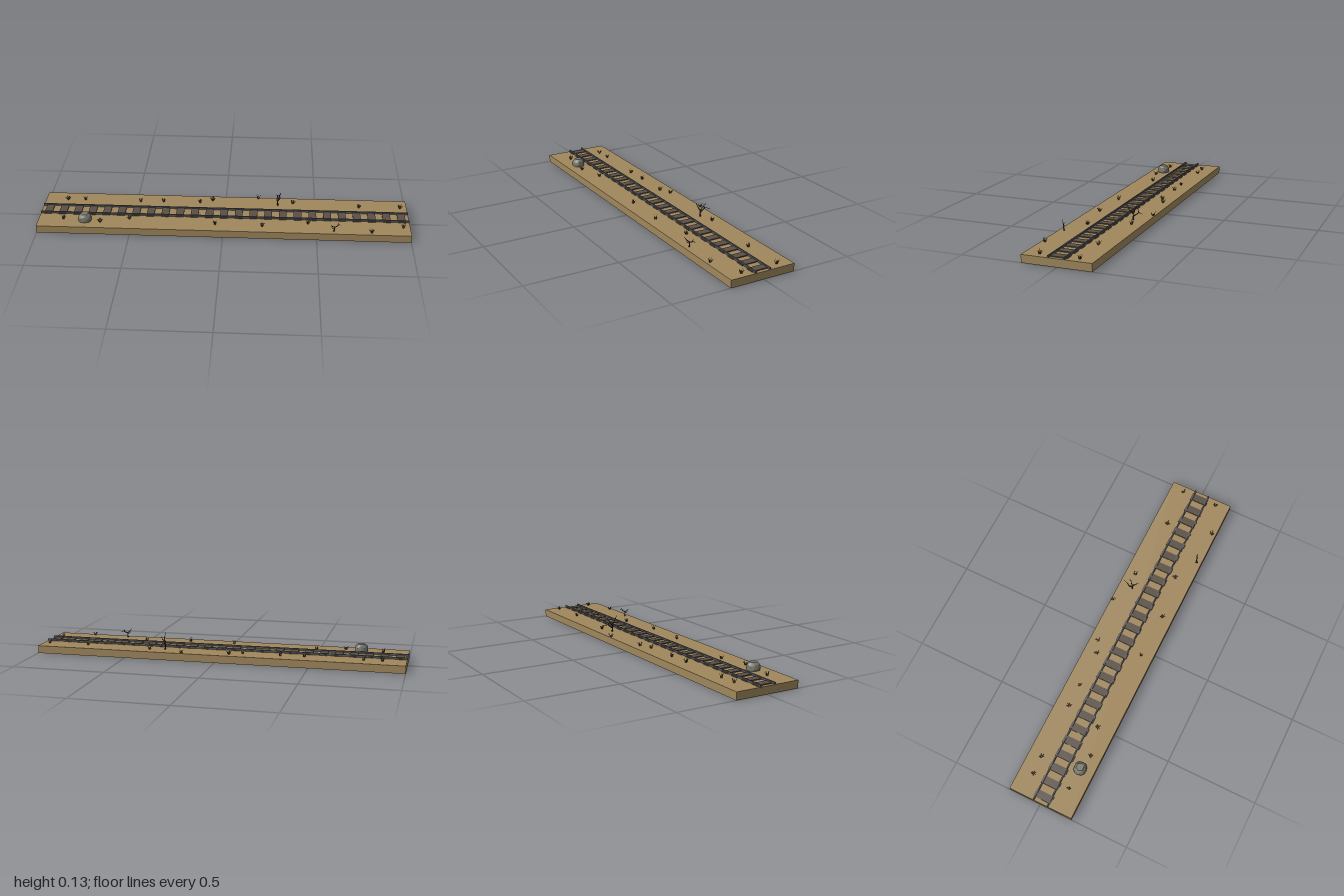
import * as THREE from 'three';

const GROUND = 0.041; // top of the ground slab
const TRACK_Z = 0.005; // middle of the track

const paint = (color) => new THREE.MeshStandardMaterial({ color, flatShading: true, side: THREE.DoubleSide });
const sand = paint(0xa0875c), timber = paint(0x5a5046), steel = paint(0x55575d);
const stone = paint(0x77776d), straw = paint(0x4f3d26), deadwood = paint(0x3c3226);

let seed = 7;
const rand = () => (seed = (seed * 16807) % 2147483647) / 2147483647;

function add(parent, name, geometry, material, x = 0, y = 0, z = 0) {
  const mesh = new THREE.Mesh(geometry, material);
  mesh.name = name;
  mesh.position.set(x, y, z);
  parent.add(mesh);
  return mesh;
}

// Tapered stick between two points
function stick(parent, name, a, b, r0, r1, material, sides = 5) {
  const from = new THREE.Vector3(...a), to = new THREE.Vector3(...b);
  const dir = to.clone().sub(from);
  const mesh = add(parent, name, new THREE.CylinderGeometry(r1, r0, dir.length(), sides), material);
  mesh.position.copy(from).add(to).multiplyScalar(0.5);
  mesh.quaternion.setFromUnitVectors(new THREE.Vector3(0, 1, 0), dir.normalize());
}

// Branching dead bush: each branch is a path of points relative to its root
function deadBush(parent, x, z, branches) {
  const bush = new THREE.Group();
  bush.name = 'deadBush';
  bush.position.set(x, GROUND, z);
  for (const { r, path } of branches) {
    const n = path.length - 1;
    for (let i = 0; i < n; i++) {
      stick(bush, 'branch', path[i], path[i + 1], r * (1 - 0.75 * i / n), r * (1 - 0.75 * (i + 1) / n), deadwood);
    }
  }
  parent.add(bush);
}

// Tuft of thin leaning blades
function grassTuft(parent, x, z) {
  const tuft = new THREE.Group();
  tuft.name = 'grassTuft';
  tuft.position.set(x, GROUND, z);
  const blades = 8;
  for (let i = 0; i < blades; i++) {
    const a = (i + rand() * 0.7) / blades * Math.PI * 2;
    const lean = 0.005 + rand() * 0.011;
    const height = 0.027 - lean * 0.4 - rand() * 0.003;
    const c = Math.cos(a), s = Math.sin(a);
    const knee = [c * (0.004 + lean * 0.35), height * 0.55, s * (0.004 + lean * 0.35)];
    stick(tuft, 'blade', [c * 0.003, -0.001, s * 0.003], knee, 0.0015, 0.0012, straw, 3);
    stick(tuft, 'blade', knee, [c * (0.003 + lean), height, s * (0.003 + lean)], 0.0012, 0.0001, straw, 3);
  }
  parent.add(tuft);
}

export function createModel() {
  const model = new THREE.Group();
  model.name = 'railwayTrack';

  add(model, 'ground', new THREE.BoxGeometry(2, GROUND, 0.36), sand, 0, GROUND / 2, 0.004);

  // Sleepers
  const sleeper = new THREE.BoxGeometry(0.042, 0.01, 0.1);
  for (let i = 0; i < 25; i++) add(model, 'sleeper', sleeper, timber, -0.96 + i * 0.08, 0.041, TRACK_Z);

  // Rails
  for (const side of [-1, 1]) {
    add(model, 'rail', new THREE.BoxGeometry(2, 0.018, 0.007), steel, 0, 0.043, TRACK_Z + side * 0.0405);
  }

  // Rock, a faceted ball with a flattened top
  const rockShape = new THREE.IcosahedronGeometry(0.038, 1);
  const p = rockShape.attributes.position;
  for (let i = 0; i < p.count; i++) {
    const x = p.getX(i), y = p.getY(i), z = p.getZ(i);
    const k = 1 + 0.07 * Math.sin(x * 90 + 1) * Math.cos(z * 80 + y * 60);
    p.setXYZ(i, x * k, Math.min(y * k * 1.15, 0.033), z * k * 0.95);
  }
  rockShape.computeVertexNormals();
  add(model, 'rock', rockShape, stone, -0.747, 0.049, 0.108);

  // Dead bushes
  deadBush(model, 0.293, -0.098, [
    { r: 0.005, path: [[0, -0.002, 0], [-0.003, 0.018, 0.001], [0, 0.034, 0]] },
    { r: 0.004, path: [[0, 0.032, 0], [0.008, 0.048, 0.013], [0.01, 0.064, 0.024], [0.004, 0.087, 0.032]] },
    { r: 0.0035, path: [[0, 0.032, 0], [0.004, 0.05, -0.009], [0.012, 0.062, -0.015], [0.012, 0.076, -0.026]] },
    { r: 0.004, path: [[-0.002, 0.02, 0], [-0.007, 0.03, -0.016], [-0.003, 0.042, -0.03], [0.008, 0.037, -0.055]] },
    { r: 0.003, path: [[-0.003, 0.042, -0.029], [-0.007, 0.05, -0.025], [-0.01, 0.058, -0.024]] },
  ]);
  deadBush(model, 0.59, 0.155, [
    { r: 0.004, path: [[0, -0.002, 0], [0.004, 0.014, 0.001], [0.003, 0.027, -0.001]] },
    { r: 0.003, path: [[0.003, 0.025, 0], [-0.008, 0.034, 0.009], [-0.012, 0.04, 0.014], [-0.018, 0.049, 0.019]] },
    { r: 0.003, path: [[0.003, 0.025, 0], [0.018, 0.03, -0.004], [0.027, 0.036, -0.008], [0.038, 0.031, -0.012]] },
    { r: 0.0025, path: [[0.018, 0.03, -0.004], [0.022, 0.041, -0.008], [0.02, 0.048, -0.012]] },
    { r: 0.0025, path: [[0.003, 0.018, 0], [-0.008, 0.024, 0.009], [-0.014, 0.03, 0.01]] },
  ]);

  // Grass tufts along both sides of the track
  const tufts = [
    [-0.877, -0.1], [-0.78, -0.104], [-0.47, -0.1], [-0.342, -0.104], [-0.139, -0.104], [-0.07, -0.131],
    [0.182, -0.167], [0.374, -0.12], [0.738, -0.094], [0.963, -0.099],
    [-0.866, 0.104], [-0.663, 0.126], [-0.508, 0.088], [-0.043, 0.12], [0.209, 0.126], [0.455, 0.088],
    [0.791, 0.163], [0.963, 0.104],
  ];
  for (const [x, z] of tufts) grassTuft(model, x, z);

  return model;
}
